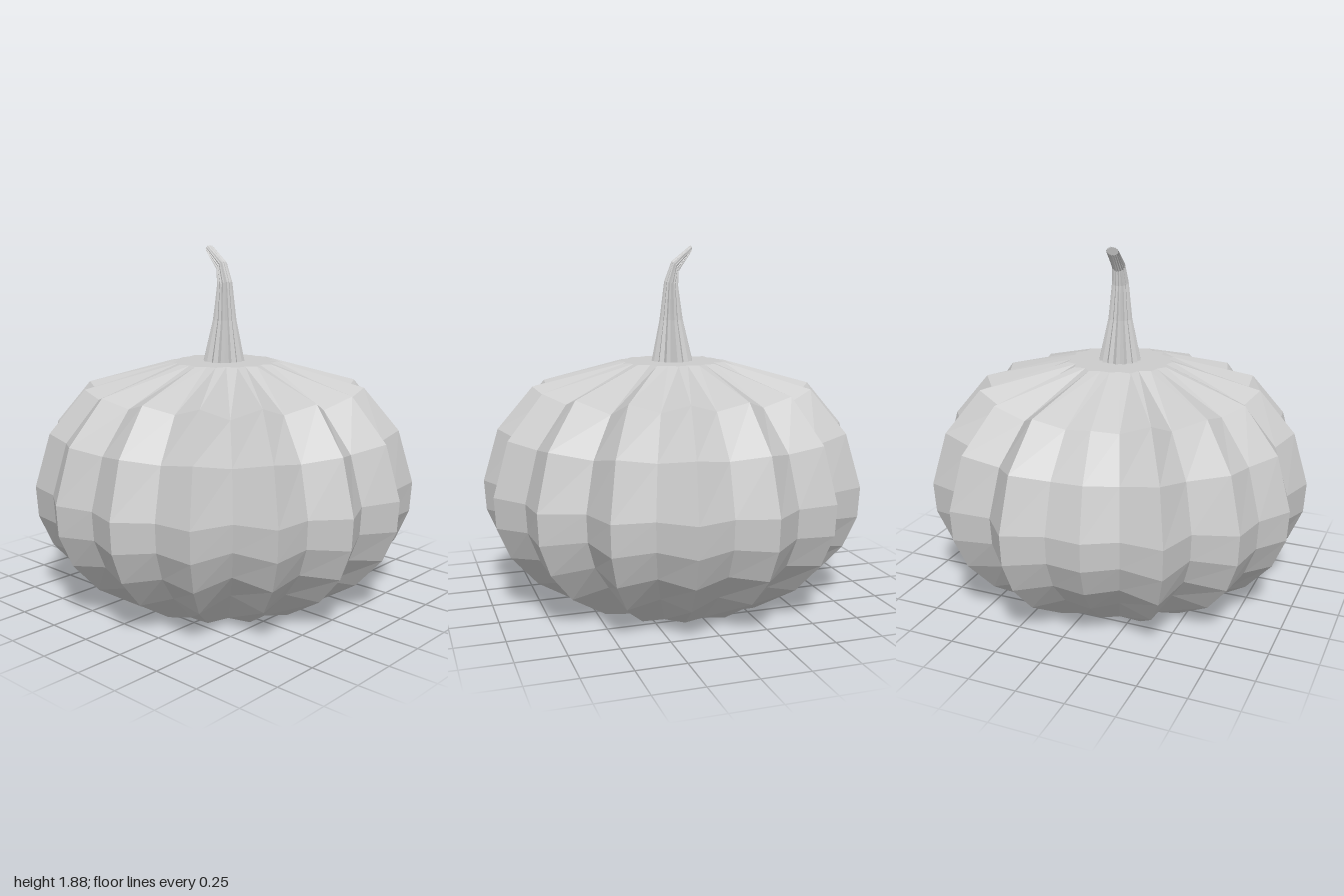
import * as THREE from 'three';

const COLUMNS = 32; // 16 ridges alternating with 16 grooves

// Skin a stack of rings (bottom to top) and close both ends.
function loft(rings) {
  const pos = [];
  const tri = (a, b, c) => pos.push(...a.toArray(), ...b.toArray(), ...c.toArray());
  const centre = (ring) => ring.reduce((s, p) => s.add(p), new THREE.Vector3()).divideScalar(ring.length);
  const first = rings[0], last = rings[rings.length - 1];
  const c0 = centre(first), c1 = centre(last);
  for (let j = 0; j < COLUMNS; j++) {
    const k = (j + 1) % COLUMNS;
    for (let i = 0; i < rings.length - 1; i++) {
      const lo = rings[i], hi = rings[i + 1];
      tri(lo[j], hi[j], lo[k]);
      tri(lo[k], hi[j], hi[k]);
    }
    tri(c0, first[j], first[k]);
    tri(c1, last[k], last[j]);
  }
  const g = new THREE.BufferGeometry();
  g.setAttribute('position', new THREE.Float32BufferAttribute(pos, 3));
  g.computeVertexNormals(); // unshared corners give flat facets
  return g;
}

const ringOf = (fn) => Array.from({ length: COLUMNS }, (_, j) => fn(j, (j / COLUMNS) * Math.PI * 2));

export function createModel() {
  const model = new THREE.Group();
  const grey = new THREE.MeshStandardMaterial({ color: 0xcccccc });
  grey.name = 'light grey';

  // Groove radii going round from +x towards +z
  const grooves = [0.935, 0.93, 0.885, 0.94, 0.91, 0.92, 0.89, 0.935,
    0.94, 0.96, 0.89, 0.906, 0.92, 0.904, 0.89, 0.933];
  const columnRadius = (j) => {
    if (j === 23) return 0.95; // one shallow ridge at the back
    return j % 2 ? 1.02 : grooves[j / 2];
  };

  // Ribbed body: [height, radius factor], cut flat at both ends
  const profile = [[0, 0.54], [0.15, 0.78], [0.31, 0.92], [0.475, 0.99],
    [0.635, 1], [0.915, 0.92], [1.14, 0.735], [1.27, 0.28]];
  const bodyRings = profile.map(([y, p], i) => ringOf((j, a) => {
    const r = columnRadius(j);
    const flat = i === 0 || i === profile.length - 1;
    const h = flat ? y : 0.6 + (y - 0.6) * (r / 1.02); // grooves shrink towards the middle
    return new THREE.Vector3(Math.cos(a) * r * p, h, Math.sin(a) * r * p);
  }));
  const body = new THREE.Mesh(loft(bodyRings), grey);
  body.name = 'body';
  model.add(body);

  // Fluted stem: [y, z, half width in x, front rim offset in y, front rim offset in z]
  const stemPath = [
    [1.268, 0, 0.112, 0, 0.11],
    [1.49, 0.005, 0.064, 0, 0.062],
    [1.68, 0.005, 0.045, 0.012, 0.037],
    [1.77, -0.016, 0.036, 0.027, 0.018],
    [1.858, -0.1, 0.035, 0.023, -0.004],
  ];
  const stemRings = stemPath.map(([y, z, w, ry, rz]) => ringOf((j, a) => {
    const f = j % 2 ? 1.01 : 0.86;
    const s = Math.sin(a) * f;
    return new THREE.Vector3(Math.cos(a) * f * w, y + s * ry, z + s * rz);
  }));
  const stem = new THREE.Mesh(loft(stemRings), grey);
  stem.name = 'stem';
  model.add(stem);

  return model;
}
